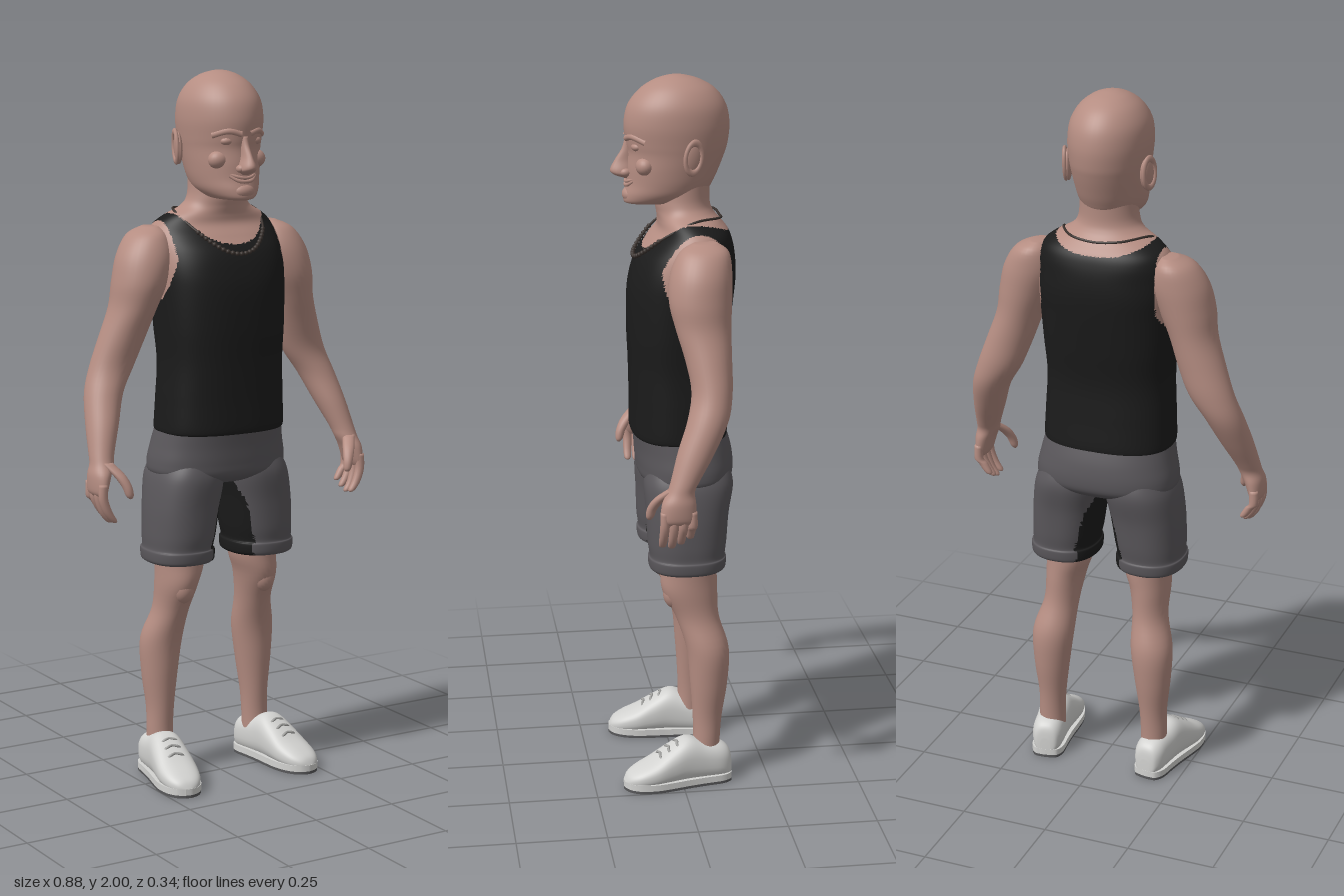
import * as THREE from 'three';

const mat = (name, color) => {
  const m = new THREE.MeshStandardMaterial({ color });
  m.name = name;
  return m;
};

// Smooth body through horizontal sections [x, y, z, rx, rz, squareness]
function loft(sections, seg = 32, sub = 5) {
  const S = sections.map(s => [...s.slice(0, 5), s[5] ?? 2]);
  const rows = [];
  const at = i => S[Math.min(S.length - 1, Math.max(0, i))];
  for (let i = 0; i < S.length - 1; i++) {
    for (let k = 0; k < sub + (i === S.length - 2 ? 1 : 0); k++) {
      const t = k / sub, a = at(i - 1), b = at(i), c = at(i + 1), d = at(i + 2);
      rows.push(b.map((_, n) => 0.5 * (2 * b[n] + (c[n] - a[n]) * t +
        (2 * a[n] - 5 * b[n] + 4 * c[n] - d[n]) * t * t + (3 * b[n] - a[n] - 3 * c[n] + d[n]) * t ** 3)));
    }
  }
  const pos = [], idx = [], up = S[S.length - 1][1] > S[0][1];
  const tri = (a, b, c) => (up ? idx.push(a, b, c) : idx.push(a, c, b));
  const pw = (v, e) => Math.sign(v) * Math.abs(v) ** (2 / e);
  for (const [x, y, z, rx, rz, e] of rows) {
    for (let i = 0; i < seg; i++) {
      const a = (i / seg) * Math.PI * 2;
      pos.push(x + rx * pw(Math.cos(a), e), y, z + rz * pw(Math.sin(a), e));
    }
  }
  for (let j = 0; j < rows.length - 1; j++) {
    for (let i = 0; i < seg; i++) {
      const a = j * seg + i, b = j * seg + (i + 1) % seg;
      tri(a, a + seg, b);
      tri(b, a + seg, b + seg);
    }
  }
  // end caps
  const first = rows[0], last = rows[rows.length - 1], c0 = rows.length * seg, top = c0 - seg;
  pos.push(first[0], first[1], first[2], last[0], last[1], last[2]);
  for (let i = 0; i < seg; i++) {
    const n = (i + 1) % seg;
    tri(c0, i, n);
    tri(c0 + 1, top + n, top + i);
  }
  const g = new THREE.BufferGeometry();
  g.setAttribute('position', new THREE.Float32BufferAttribute(pos, 3));
  g.setIndex(idx);
  g.computeVertexNormals();
  return g;
}

// Section on the centre line, from front and back depth
const fb = (y, rx, zf, zb, e = 2) => [0, y, (zf + zb) / 2, rx, (zf - zb) / 2, e];

// Split faces into two material groups by their centre point
function paint(g, rule) {
  const p = g.attributes.position, id = g.index.array, parts = [[], []];
  for (let i = 0; i < id.length; i += 3) {
    const v = [0, 1, 2].map(k => id[i + k]);
    const mid = f => (p[f](v[0]) + p[f](v[1]) + p[f](v[2])) / 3;
    parts[rule(mid('getX'), mid('getY'), mid('getZ')) ? 1 : 0].push(...v);
  }
  g.setIndex([...parts[0], ...parts[1]]);
  g.addGroup(0, parts[0].length, 0);
  g.addGroup(parts[0].length, parts[1].length, 1);
  return g;
}

function mirrored(geo) {
  const g = geo.clone();
  if (!g.index) g.setIndex([...Array(g.attributes.position.count).keys()]);
  g.scale(-1, 1, 1);
  const id = g.index.array;
  for (let i = 0; i < id.length; i += 3) [id[i + 1], id[i + 2]] = [id[i + 2], id[i + 1]];
  return g;
}

const ball = (x, y, z, sx, sy, sz) =>
  new THREE.SphereGeometry(1, 24, 16).scale(sx, sy, sz).translate(x, y, z);
const V = (x, y, z) => new THREE.Vector3(x, y, z);
const tube = (pts, r, closed = false, n = 24) =>
  new THREE.TubeGeometry(new THREE.CatmullRomCurve3(pts.map(p => V(...p)), closed), n, r, 8, closed);

export function createModel() {
  const model = new THREE.Group();
  const skin = mat('skin', 0xb58d82), black = mat('black cloth', 0x1b1b1b), grey = mat('shorts grey', 0x5a575b),
    white = mat('shoe white', 0xd2d2d0), sole = mat('sole grey', 0x58585a), lace = mat('lace grey', 0xa4a4a2),
    chain = mat('necklace brown', 0x3a322e);
  const add = (name, geo, m) => {
    const mesh = new THREE.Mesh(geo, m);
    mesh.name = name;
    model.add(mesh);
  };
  const pair = (name, geo, m) => {
    add(name + 'Left', geo, m);
    add(name + 'Right', mirrored(geo), m);
  };

  // Torso and neck, with the tank top as painted faces
  const torso = loft([
    fb(1.005, .182, .118, -.142, 2.5), fb(1.02, .186, .123, -.145, 2.5), fb(1.1, .183, .123, -.139, 2.5),
    fb(1.2, .179, .125, -.135, 2.5), fb(1.3, .185, .129, -.149, 2.5), fb(1.4, .191, .128, -.162, 2.4),
    fb(1.46, .194, .118, -.167, 2.4), fb(1.51, .194, .1, -.165, 2.3), fb(1.55, .19, .07, -.158, 2.3),
    fb(1.58, .178, .047, -.147, 2.2), fb(1.605, .148, .044, -.127, 2.1), fb(1.63, .102, .048, -.107),
    fb(1.66, .084, .053, -.098), fb(1.72, .08, .05, -.1)], 128, 9);
  add('torsoAndTankTop', paint(torso, (x, y, z) => {
    const ax = Math.abs(x);
    const neck = z > -.06 ? 1.53 + .078 * (ax / .135) ** 2.5 : 1.578 + .03 * (ax / .135) ** 2.5;
    const armhole = ax > .167 && ((z + .035) / .088) ** 2 + ((y - 1.49) / .118) ** 2 < 1;
    return y < Math.min(neck, 1.625) && !armhole;
  }), [skin, black]);

  // Head
  add('head', loft([
    fb(1.652, .03, .125, .02), fb(1.658, .058, .137, -.03), fb(1.68, .081, .137, -.085), fb(1.71, .092, .13, -.107),
    fb(1.75, .099, .129, -.125), fb(1.79, .104, .126, -.14), fb(1.82, .108, .131, -.148), fb(1.87, .112, .136, -.152),
    fb(1.92, .106, .125, -.142), fb(1.96, .084, .094, -.114), fb(1.985, .054, .056, -.074),
    fb(1.997, .024, .02, -.034), fb(2, .002, -.005, -.01)], 48, 5), skin);
  add('chin', ball(0, 1.677, .113, .036, .024, .029), skin);
  add('nose', loft([
    [0, 1.722, .128, .008, .01], [0, 1.732, .137, .021, .028], [0, 1.745, .138, .021, .036], [0, 1.77, .132, .013, .03],
    [0, 1.8, .125, .011, .018], [0, 1.825, .12, .011, .015]], 20), skin);
  pair('nostril', ball(.018, 1.739, .133, .011, .011, .015), skin);
  pair('brow', tube([[.012, 1.832, .13], [.045, 1.84, .118], [.078, 1.828, .085]], .009), skin);
  pair('eye', ball(.042, 1.813, .104, .021, .013, .017), skin);
  pair('cheek', ball(.058, 1.762, .085, .03, .026, .026), skin);
  for (const [name, dy, r] of [['upperLip', .004, .0045], ['lowerLip', -.006, .0055]])
    add(name, tube([[-.04, 1.722 + dy / 2, .113], [-.02, 1.712 + dy, .128], [0, 1.709 + dy, .132],
      [.02, 1.712 + dy, .128], [.04, 1.722 + dy / 2, .113]], r), skin);
  pair('ear', ball(0, 0, 0, .011, .045, .027).rotateY(.3).rotateX(-.12).translate(.114, 1.79, -.036), skin);
  pair('earRim', new THREE.TorusGeometry(.024, .006, 8, 24).scale(1, 1.7, 1).rotateY(Math.PI / 2 + .3)
    .rotateX(-.12).translate(.121, 1.793, -.038), skin);

  // Necklace: chain with beads along the front
  const half = [[.04, 1.513, .106], [.075, 1.535, .085], [.112, 1.575, .04], [.126, 1.618, -.04], [.07, 1.618, -.116]];
  const loop = [[0, 1.505, .112], ...half, [0, 1.612, -.127],
    ...half.map(([x, y, z]) => [-x, y, z]).reverse()];
  add('necklaceChain', tube(loop, .0035, true, 80), chain);
  const curve = new THREE.CatmullRomCurve3(loop.map(p => V(...p)), true);
  for (let i = -10; i <= 10; i++) {
    const p = curve.getPointAt((i * .0165 + 1) % 1);
    add('necklaceBead', new THREE.SphereGeometry(.0065, 10, 8).translate(p.x, p.y, p.z), chain);
  }

  // Arms, from shoulder to palm
  pair('arm', loft([
    [.19, 1.578, -.06, .02, .03], [.203, 1.555, -.055, .055, .066], [.215, 1.5, -.045, .08, .083],
    [.235, 1.43, -.04, .077, .085], [.255, 1.36, -.045, .066, .075], [.283, 1.28, -.055, .066, .063],
    [.314, 1.2, -.06, .064, .055], [.348, 1.13, -.045, .054, .055], [.373, 1.05, -.01, .045, .05],
    [.393, .98, .022, .035, .039], [.4, .95, .035, .032, .037], [.411, .92, .042, .028, .046],
    [.418, .88, .045, .02, .047], [.418, .865, .045, .012, .04]], 32), skin);
  [.025, .01, 0, .004].forEach((lift, i) => {
    const z = .006 + i * .025;
    pair('finger', loft([[.419, .9, z, .013, .012], [.42, .86, z, .013, .013],
      [.408, .82 + lift, z + .002, .013, .012], [.392, .795 + lift, z + .003, .011, .01],
      [.387, .788 + lift, z + .003, .004, .004]], 12, 4), skin);
  });
  pair('thumb', loft([[.398, .955, .055, .018, .018], [.376, .925, .088, .017, .017], [.362, .895, .107, .014, .014],
    [.356, .87, .113, .011, .011], [.354, .86, .114, .004, .004]], 14, 4), skin);

  // Shorts, with dark inner leg panels
  add('shortsSeat', loft([
    fb(.853, .06, .02, -.07), fb(.862, .14, .065, -.12, 2.2), fb(.885, .196, .1, -.154, 2.4), fb(.92, .203, .107, -.162, 2.4),
    fb(.97, .193, .111, -.156, 2.4), fb(1.02, .181, .117, -.141, 2.5)], 64), grey);
  const leg = loft([
    [.1, .93, -.028, .08, .11, 2.4], [.105, .88, -.027, .1, .124, 2.4], [.118, .8, -.022, .1, .115, 2.4],
    [.126, .72, -.02, .097, .11, 2.3], [.13, .68, -.02, .093, .105, 2.3], [.13, .671, -.02, .098, .109, 2.3],
    [.13, .646, -.02, .097, .107, 2.3], [.13, .638, -.02, .09, .1, 2.3]], 64, 6);
  pair('shortsLeg', paint(leg, (x, y, z) =>
    y < .875 && x < .075 && Math.abs(z + .02) < .088 - Math.max(0, y - .8) * .5), [grey, black]);

  // Lower legs
  pair('leg', loft([
    [.125, .75, -.02, .07, .08], [.12, .64, -.025, .067, .08], [.13, .57, -.028, .056, .078],
    [.137, .49, -.049, .05, .061], [.152, .4, -.076, .06, .06], [.157, .3, -.079, .052, .053],
    [.158, .2, -.075, .04, .042], [.16, .13, -.073, .038, .038], [.16, .07, -.07, .038, .04]], 32), skin);
  pair('kneecap', ball(.133, .56, .012, .034, .045, .036), skin);

  // Shoes: [z, half width, height], turned slightly outward
  const shoe = [[-.142, .015, .06], [-.136, .033, .095], [-.11, .045, .114], [-.06, .047, .125], [-.012, .05, .138],
    [.035, .055, .116], [.085, .058, .084], [.13, .05, .062], [.158, .032, .045], [.17, .01, .025]];
  const place = g => g.rotateY(.15).translate(.178, 0, 0);
  pair('shoe', place(loft(shoe.map(([z, w, h]) => [0, z, -h / 2 - .004, w, h / 2 - .004, 2.5]), 40)
    .rotateX(Math.PI / 2)), white);
  const slab = (grow, y, h) => {
    const side = shoe.map(([z, w]) => new THREE.Vector2(w * grow, z));
    const outline = new THREE.Shape().moveTo(0, -.143).splineThru(side);
    outline.splineThru(side.map(p => new THREE.Vector2(-p.x, p.y)).reverse());
    return place(new THREE.ExtrudeGeometry(outline, { depth: h, bevelEnabled: false, curveSegments: 40 })
      .rotateX(Math.PI / 2).translate(0, y + h, 0));
  };
  pair('sole', slab(1.02, 0, .008), sole);
  pair('midsole', slab(1.04, .008, .018), white);
  for (const [z, h] of [[.015, .127], [.04, .114], [.065, .098]])
    pair('lace', place(tube([[-.03, h - .016, z], [-.015, h - .003, z + .004], [0, h, z], [.015, h - .003, z + .004],
      [.03, h - .016, z]], .004)), lace);
  return model;
}
